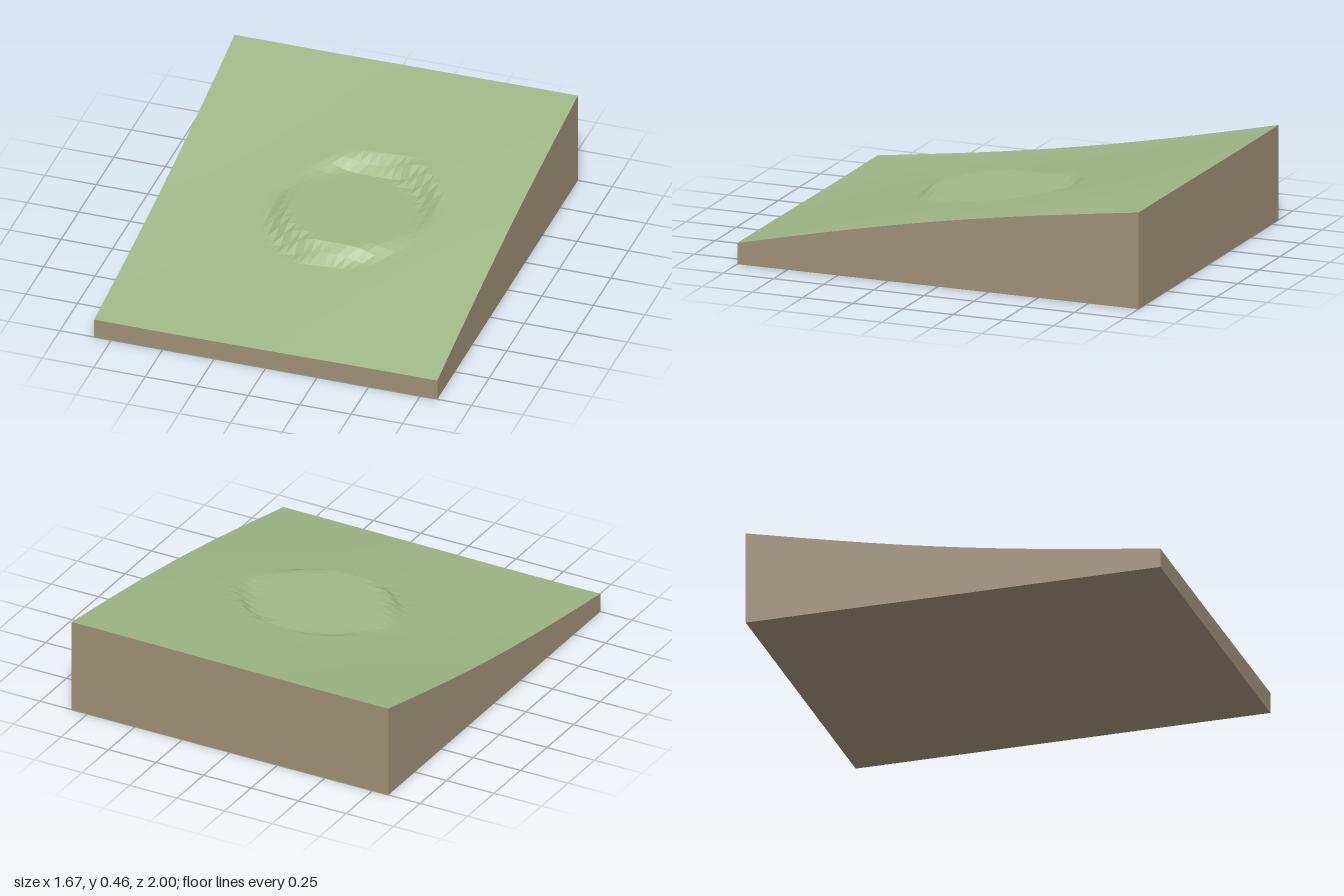
import * as THREE from 'three';

const W = 1.667, D = 2, NX = 40, NZ = 40;
const PAD = { x: 0.085, z: 0, y: 0.285, inner: 0.305, outer: 0.4 };

// Natural hillside: rises toward the back, hollow on the -x side and swelling on the +x side
function hill(x, z) {
  const slope = 0.277 - 0.1795 * z + 0.004 * Math.sin(2 * x - 0.3);
  return slope + Math.cos(z * Math.PI / 2) * 0.032 * Math.sin(2.2 * x + 0.05);
}

// Hillside levelled to a round flat pad, with a short bank around it
function height(x, z) {
  const r = Math.hypot(x - PAD.x, z - PAD.z);
  const t = THREE.MathUtils.smoothstep(r, PAD.inner, PAD.outer);
  return THREE.MathUtils.lerp(PAD.y, hill(x, z), t);
}

// Vertical wall from the ground to the terrain edge, between two plan points
function wall(name, x0, z0, x1, z1, material) {
  const n = 40, positions = [], index = [];
  for (let i = 0; i <= n; i++) {
    const x = THREE.MathUtils.lerp(x0, x1, i / n), z = THREE.MathUtils.lerp(z0, z1, i / n);
    positions.push(x, 0, z, x, height(x, z), z);
    if (i < n) {
      const a = i * 2;
      index.push(a, a + 2, a + 1, a + 1, a + 2, a + 3);
    }
  }
  const geometry = new THREE.BufferGeometry();
  geometry.setAttribute('position', new THREE.Float32BufferAttribute(positions, 3));
  geometry.setIndex(index);
  geometry.computeVertexNormals();
  const mesh = new THREE.Mesh(geometry, material);
  mesh.name = name;
  return mesh;
}

export function createModel() {
  const grass = new THREE.MeshStandardMaterial({ color: 0x9fb787 });
  grass.name = 'grass green';
  const earth = new THREE.MeshStandardMaterial({ color: 0x9f9077 });
  earth.name = 'earth brown';

  const model = new THREE.Group();
  model.name = 'hillsidePlot';

  // Faceted grass surface
  const plane = new THREE.PlaneGeometry(W, D, NX, NZ).rotateX(-Math.PI / 2);
  const p = plane.attributes.position;
  for (let i = 0; i < p.count; i++) p.setY(i, height(p.getX(i), p.getZ(i)));
  const surface = plane.toNonIndexed();
  surface.computeVertexNormals();
  const terrain = new THREE.Mesh(surface, grass);
  terrain.name = 'terrain';
  model.add(terrain);

  // Earth walls, each running so that it faces outward
  const x = W / 2, z = D / 2;
  model.add(
    wall('frontWall', -x, z, x, z, earth),
    wall('leftWall', x, z, x, -z, earth),
    wall('backWall', x, -z, -x, -z, earth),
    wall('rightWall', -x, -z, -x, z, earth)
  );

  // Flat underside
  const underside = new THREE.Mesh(new THREE.PlaneGeometry(W, D).rotateX(Math.PI / 2), earth);
  underside.name = 'underside';
  model.add(underside);

  return model;
}
